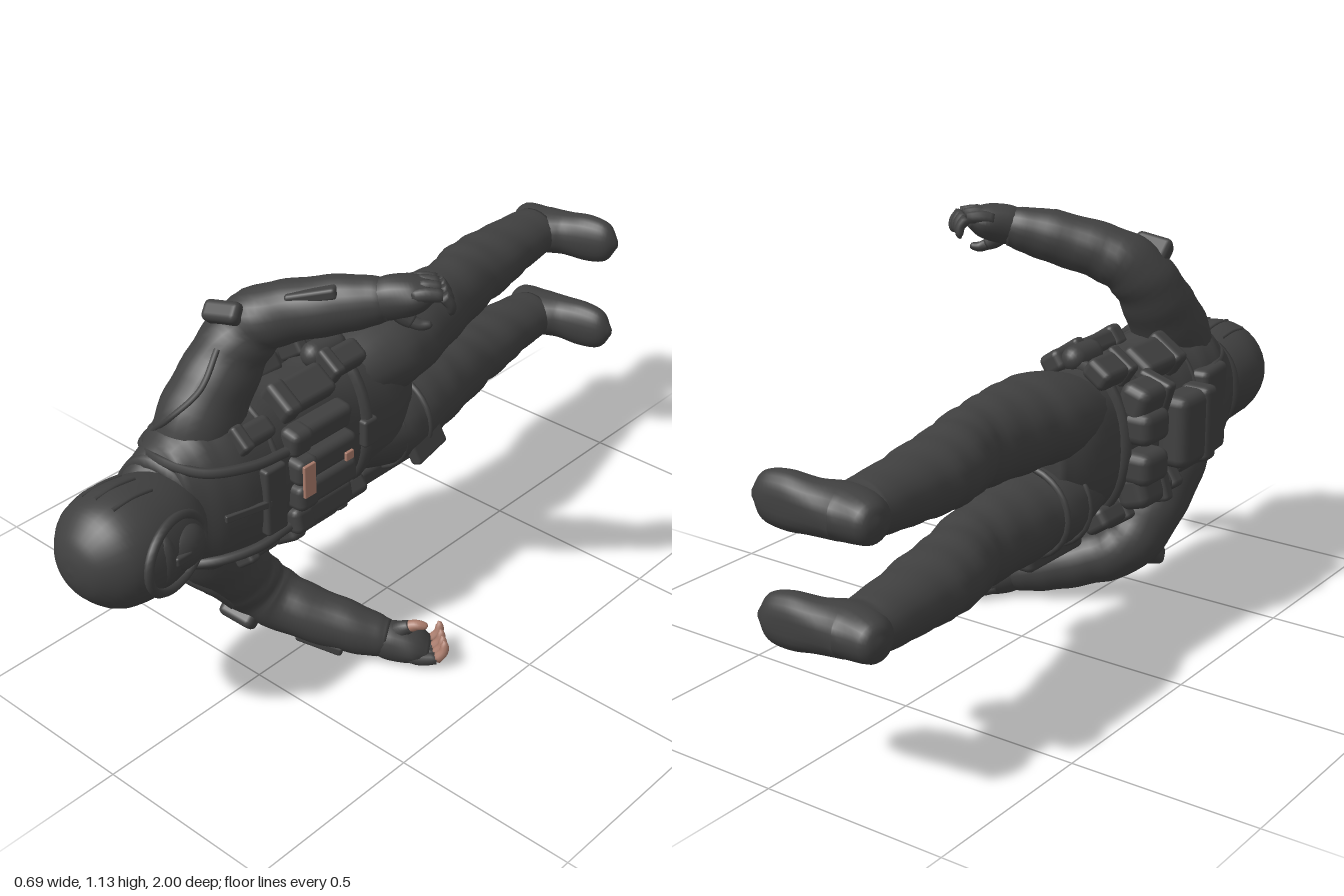
import * as THREE from 'three';
import { RoundedBoxGeometry } from 'three/addons/geometries/RoundedBoxGeometry.js';

const C = 0.574; // height of the body's plane of symmetry (figure lies on its side, head to +z, chest to +x)
const V = (x, y, z) => new THREE.Vector3(x, y, z);

// Smooth closed loft through [x, y, z, radiusA, radiusB]; radiusA lies along ref, folds ripple the cloth
function loft(rows, ref = V(1, 0, 0), { sides = 24, per = 5, fold = 0, power = 1 } = {}) {
  const path = new THREE.CatmullRomCurve3(rows.map(r => V(r[0], r[1], r[2])), false, 'catmullrom');
  const size = new THREE.CatmullRomCurve3(rows.map(r => V(r[3], r[4] ?? r[3], 0)), false, 'catmullrom');
  const n = (rows.length - 1) * per, pos = [], idx = [];
  for (let i = 0; i <= n; i++) {
    const c = path.getPoint(i / n), s = size.getPoint(i / n);
    const t = path.getTangent(i / n);
    const u = ref.clone().addScaledVector(t, -ref.dot(t)).normalize();
    const v = t.clone().cross(u);
    for (let j = 0; j < sides; j++) {
      const a = j / sides * Math.PI * 2;
      const k = 1 + fold * Math.sin(i * 1.25 + 2 * Math.sin(a + i * 0.13)) * Math.sin(Math.PI * i / n);
      const f = q => Math.sign(q) * Math.abs(q) ** power;
      const p = c.clone().addScaledVector(u, s.x * k * f(Math.cos(a))).addScaledVector(v, s.y * k * f(Math.sin(a)));
      pos.push(p.x, p.y, p.z);
    }
  }
  for (let i = 0; i < n; i++) for (let j = 0; j < sides; j++) {
    const k = (j + 1) % sides, a = i * sides + j, b = i * sides + k;
    idx.push(a, b, b + sides, a, b + sides, a + sides);
  }
  const s0 = pos.length / 3, a = path.getPoint(0), b = path.getPoint(1);
  pos.push(a.x, a.y, a.z, b.x, b.y, b.z);
  for (let j = 0; j < sides; j++) {
    const k = (j + 1) % sides;
    idx.push(s0, k, j, s0 + 1, n * sides + j, n * sides + k);
  }
  const g = new THREE.BufferGeometry();
  g.setAttribute('position', new THREE.Float32BufferAttribute(pos, 3));
  g.setIndex(idx);
  g.computeVertexNormals();
  return g;
}

export function createModel() {
  const root = new THREE.Group();
  root.name = 'lyingFigure';
  const cloth = new THREE.MeshStandardMaterial({ color: 0x404040 });
  cloth.name = 'charcoalCloth';
  const skin = new THREE.MeshStandardMaterial({ color: 0xa87a6a });
  skin.name = 'skin';

  const add = (name, geo, mat = cloth) => {
    const m = new THREE.Mesh(geo, mat);
    m.name = name;
    root.add(m);
    return m;
  };
  const box = (name, p, s, r = [0, 0, 0], mat = cloth) => {
    const m = add(name, new RoundedBoxGeometry(...s, 2, Math.min(...s) * 0.3), mat);
    m.position.set(...p);
    m.rotation.set(...r);
    return m;
  };
  const cord = (name, pts, r, closed = false) =>
    add(name, new THREE.TubeGeometry(new THREE.CatmullRomCurve3(pts, closed), 40, r, 6, closed));
  // Oval band lying around the body at height z
  const band = (name, x, z, rx, ry, r, tilt = 0) => cord(name, Array.from({ length: 20 }, (_, i) => {
    const a = i / 20 * Math.PI * 2;
    return V(x + rx * Math.cos(a), C + ry * Math.sin(a), z + tilt * Math.cos(a));
  }), r, true);

  // Jacket and pelvis
  add('torso', loft([
    [-.125, C, -.14, .09, .11], [-.125, C, -.04, .137, .19], [-.125, C, .08, .135, .195],
    [-.12, C, .2, .132, .19], [-.11, C, .35, .145, .2], [-.115, C, .47, .165, .215],
    [-.125, C, .57, .162, .22], [-.13, C, .64, .135, .195], [-.135, C, .69, .105, .145], [-.12, C, .74, .07, .08],
  ], undefined, { sides: 36, fold: .012, power: .92 }));
  band('belt', -.125, .09, .135, .2, .018);
  band('chestStrap', -.112, .44, .162, .213, .009);
  band('collar', -.125, .685, .105, .13, .022, -.02);

  // Hooded head
  const hx = -.085, hr = .152;
  add('hood', loft([
    [-.115, C, .655, .08, .1], [-.1, C, .7, .128, .12], [-.09, C, .77, .148, .138], [hx, C, .85, .153, .147],
    [hx, C, .92, .135, .131], [hx, C, .97, .089, .086], [hx, C, .992, .045, .043], [hx, C, .998, .005, .005],
  ], undefined, { sides: 32 }));
  const onFace = (dy, z, lift) => hx + lift + hr * Math.sqrt(Math.max(0, 1 - (dy / hr) ** 2 - ((z - .83) / .2) ** 2));
  cord('hoodRim', Array.from({ length: 20 }, (_, i) => {
    const a = i / 20 * Math.PI * 2, dy = .092 * Math.cos(a), z = .785 + .105 * Math.sin(a);
    return V(onFace(dy, z, .006), C + dy, z);
  }), .012, true);
  const mask = add('faceMask', new THREE.SphereGeometry(1, 24, 16));
  mask.scale.set(.045, .06, .065);
  mask.position.set(.03, C, .755);
  const goggles = add('goggles', new THREE.SphereGeometry(1, 24, 12));
  goggles.scale.set(.033, .072, .03);
  goggles.position.set(.04, C, .82);
  box('noseBridge', [.066, C, .785], [.02, .025, .05]);

  for (const s of [-1, 1]) {
    const y = d => C + s * d;
    const rows = list => list.map(([x, d, ...rest]) => [x, y(d), ...rest]);
    const side = s > 0 ? 'left' : 'right';

    // Strips along the side of the hood
    for (const o of [-.07, -.02, .04])
      cord(side + 'HoodStrip', [[.77, .139], [.83, .146], [.89, .141]].map(([z, r]) =>
        V(hx + o, y(r * Math.sqrt(1 - (o / .15) ** 2)), z)), .006);

    // Leg and boot
    add(side + 'Leg', loft(rows([
      [-.125, .09, .07, .11, .09], [-.125, .11, -.08, .14, .115], [-.13, .118, -.2, .13, .114],
      [-.145, .125, -.33, .11, .11], [-.158, .13, -.45, .094, .102], [-.187, .132, -.55, .099, .096],
      [-.2, .133, -.65, .102, .088], [-.21, .135, -.75, .09, .08], [-.215, .138, -.85, .084, .072], [-.215, .14, -.9, .078, .066],
    ]), undefined, { fold: .025 }));
    const foot = loft(rows([
      [-.31, .138, -.955, .012, .012], [-.29, .138, -.95, .047, .048], [-.21, .138, -.925, .08, .062], [-.13, .14, -.945, .06, .064],
      [-.06, .143, -.955, .05, .07], [0, .145, -.963, .036, .057], [.03, .145, -.97, .008, .012],
    ]), V(0, 0, 1));
    const fp = foot.attributes.position; // flat sole
    for (let i = 0; i < fp.count; i++) fp.setZ(i, Math.max(-1, fp.getZ(i)));
    foot.computeVertexNormals();
    add(side + 'Boot', foot);

    // Sleeve, elbow patch and cable
    add(side + 'Arm', loft(rows([
      [-.13, .09, .57, .1, .1], [-.13, .18, .535, .11, .105], [-.125, .27, .475, .1, .098], [-.112, .35, .42, .088, .09],
      [-.075, .41, .375, .082, .082], [0, .446, .335, .074, .076], [.1, .477, .28, .066, .071], [.17, .495, .24, .055, .06],
      [.2, .5, .222, .046, .05],
    ]), V(0, 0, 1), { fold: .025 }));
    box(side + 'ElbowPatch', [-.112, y(.43), .435], [.105, .055, .1], [s * -.75, 0, s * .25]);
    box(side + 'ForearmPocket', [.06, y(.512), .325], [.13, .03, .07], [0, .5, s * .27]);
    cord(side + 'Cable', [V(-.22, y(.08), .645), V(-.185, y(.17), .636), V(-.125, y(.23), .635),
      V(-.08, y(.3), .57), V(-.085, y(.38), .505)], .008);
    cord(side + 'ShoulderStrap', [V(.05, y(.11), .42), V(.045, y(.12), .53), V(-.01, y(.13), .64), V(-.11, y(.145), .685),
      V(-.22, y(.13), .64), V(-.275, y(.11), .5)], .013);

    // Gloved hand with curled fingers
    add(side + 'Palm', loft(rows([
      [.185, .5, .235, .045, .05], [.21, .508, .215, .052, .054], [.25, .518, .18, .06, .046], [.28, .53, .155, .046, .026],
    ]), V(.5, 0, .8), { sides: 16 }));
    const tip = s > 0 ? cloth : skin;
    for (let f = 0; f < 4; f++) {
      const kx = .232 + f * .021, kz = .142 + f * .018, lift = Math.abs(f - 1.5) * .006;
      const k = [kx, .545 - lift, kz, .018], mid = [kx + .03, .543 - lift, kz - .025, .015];
      add(side + 'FingerBase', loft(rows([[kx - .025, .53, kz + .02, .016], k, mid]), V(0, 1, 0), { sides: 10, per: 3 }));
      add(side + 'FingerTip', loft(rows([mid, [kx + .043, .521 - lift, kz - .037, .013], [kx + .042, .5 - lift, kz - .042, .01],
        [kx + .038, .49 - lift, kz - .042, .002]]), V(1, 0, 0), { sides: 10, per: 3 }), tip);
    }
    add(side + 'ThumbBase', loft(rows([[.21, .49, .215, .028], [.235, .463, .205, .022], [.255, .45, .195, .017]]),
      V(0, 0, 1), { sides: 10 }));
    add(side + 'ThumbTip', loft(rows([[.25, .452, .197, .016], [.27, .444, .185, .014], [.288, .446, .172, .009],
      [.292, .447, .169, .002]]), V(0, 0, 1), { sides: 10 }), tip);

    // Pouches on the sides and belt
    for (const [x, d, z, w, h, l, r] of [
      [-.03, .19, .29, .09, .055, .18, .6], [-.2, .18, .31, .1, .065, .18, -.6], [-.27, .12, .16, .09, .1, .13, -.3],
      [-.05, .2, .12, .07, .06, .13, .6], [-.2, .2, .1, .08, .06, .13, -.6], [-.01, .16, .48, .06, .06, .12, .7],
    ]) {
      box(side + 'Pouch', [x, y(d), z], [w, h, l], [0, 0, -s * r]);
      box(side + 'PouchFlap', [x, y(d), z + l * .36], [w + .012, h + .012, l * .3], [0, 0, -s * r]);
    }
  }

  // Magazine pouches on the chest
  [-.115, -.038, .038, .115].forEach(d => {
    const x = .051 - Math.abs(d) * .2;
    box('magazinePouch', [x, C + d, .29], [.06, .07, .2], [0, 0, -d * 1.5]);
    box('magazineFlap', [x + .005, C + d, .37], [.064, .073, .07], [0, 0, -d * 1.5]);
  });
  box('chestPanel', [.05, C, .47], [.03, .19, .07]);
  box('jacketZip', [.045, C, .55], [.012, .02, .13], [0, -.25, 0]);
  box('skinPatch', [.085, C + .023, .38], [.0095, .092, .04], [0, 0, 0], skin);
  box('smallSkinPatch', [.083, C + .025, .235], [.009, .025, .028], [0, 0, 0], skin);
  box('beltBuckle', [.015, C, .09], [.03, .08, .05]);

  // Back gear
  box('backPack', [-.29, C, .35], [.09, .2, .17]);
  box('backPackFlap', [-.297, C, .4], [.09, .21, .06]);
  box('upperBackPanel', [-.262, C, .51], [.06, .25, .14], [0, .12, 0]);
  for (const d of [-.055, .055]) box('rearBeltPouch', [-.285, C + d, .15], [.09, .09, .12]);

  // Hip roll, thigh holster and thigh pocket
  const roll = add('hipRoll', new THREE.CapsuleGeometry(.035, .07, 6, 16));
  roll.position.set(-.1, C + .215, .13);
  roll.rotation.x = Math.PI / 2;
  box('holster', [-.13, C - .235, -.1], [.11, .055, .24]);
  box('holsterGrip', [-.1, C - .235, .04], [.05, .04, .07], [0, .4, 0]);
  box('thighPocket', [-.01, C - .15, -.16], [.035, .1, .13], [.15, .08, .35]);
  for (const z of [-.07, -.17]) {
    const strap = add('thighStrap', new THREE.TorusGeometry(.12, .009, 8, 28));
    strap.position.set(-.128, C - .115, z);
    strap.scale.x = 1.1;
  }
  return root;
}
